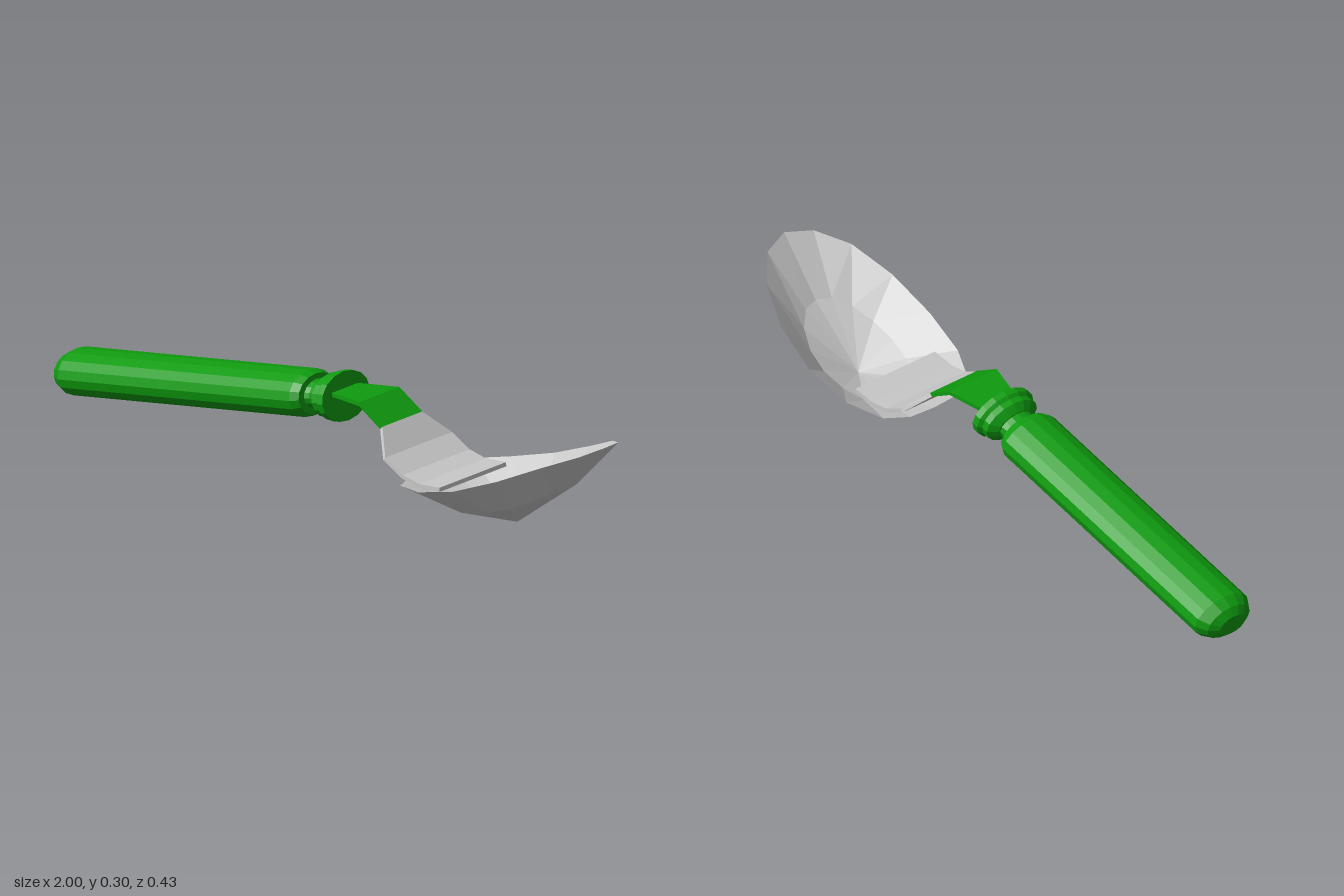
import * as THREE from 'three';

const green = new THREE.MeshStandardMaterial({ color: 0x0f9b0f, flatShading: true });
green.name = 'green';
const silver = new THREE.MeshStandardMaterial({ color: 0xc8c8c8, flatShading: true, side: THREE.DoubleSide });
silver.name = 'silver';

function meshFrom(name, positions, index, material) {
  const g = new THREE.BufferGeometry();
  g.setAttribute('position', new THREE.Float32BufferAttribute(positions, 3));
  g.setIndex(index);
  g.computeVertexNormals();
  const mesh = new THREE.Mesh(g, material);
  mesh.name = name;
  return mesh;
}

// Bent flat bar through stations [x, y of top, half width]
function strip(name, stations, material, thickness = 0.012) {
  const pos = [], idx = [];
  stations.forEach(([x, y, w], i) => {
    // push the underside away along the local slope
    const a = stations[Math.max(i - 1, 0)], b = stations[Math.min(i + 1, stations.length - 1)];
    const t = Math.atan2(b[1] - a[1], b[0] - a[0]);
    const bx = x + Math.sin(t) * thickness, by = y - Math.cos(t) * thickness;
    pos.push(x, y, w, x, y, -w, bx, by, -w, bx, by, w);
    if (i === 0) return;
    const p = (i - 1) * 4, q = i * 4;
    for (let k = 0; k < 4; k++) {
      const n = (k + 1) % 4;
      idx.push(p + k, q + k, p + n, q + k, q + n, p + n);
    }
  });
  const e = (stations.length - 1) * 4;
  idx.push(0, 1, 2, 0, 2, 3, e, e + 2, e + 1, e, e + 3, e + 2);
  return meshFrom(name, pos, idx, material);
}

// Thin bowl: rim and middle ring given for half a turn, tip first, then mirrored
function bowl() {
  const rim = [[1, 0.297], [0.971, 0.283], [0.889, 0.25], [0.765, 0.193], [0.62, 0.135],
    [0.475, 0.095], [0.37, 0.078], [0.335, 0.071], [0.33, 0.07]];
  const midY = [0.143, 0.138, 0.115, 0.085, 0.058, 0.037, 0.019, 0.019, 0.02];
  const pos = [0.67, 0, 0], idx = [], n = 16;
  for (let i = 0; i < n; i++) {
    const a = (i / n) * Math.PI * 2, h = i <= 8 ? i : n - i;
    pos.push(0.67 + 0.19 * Math.cos(a), midY[h], 0.122 * Math.sin(a));
    pos.push(rim[h][0], rim[h][1], 0.216 * Math.sin(a));
    const m = 1 + i * 2, m2 = 1 + ((i + 1) % n) * 2;
    idx.push(0, m2, m, m, m2, m2 + 1, m, m2 + 1, m + 1);
  }
  return meshFrom('bowl', pos, idx, silver);
}

export function createModel() {
  const group = new THREE.Group();
  group.name = 'spoon';

  // Turned grip, flattened to an oval and tilted along its axis
  const tilt = 0.156;
  const turned = (name, profile) => {
    const g = new THREE.LatheGeometry(profile.map(([r, s]) => new THREE.Vector2(r, s)), 16);
    g.scale(0.7, 1, 1);
    g.rotateZ(tilt - Math.PI / 2);
    g.translate(-0.996, 0.063, 0);
    const mesh = new THREE.Mesh(g, green);
    mesh.name = name;
    group.add(mesh);
  };
  turned('grip', [[0, 0], [0.045, 0], [0.075, 0.018], [0.095, 0.05], [0.095, 0.915],
    [0.082, 0.94], [0, 0.94]]);
  turned('neck', [[0, 0.93], [0.062, 0.93], [0.055, 0.955], [0.06, 0.99], [0, 0.99]]);
  turned('collar', [[0, 0.97], [0.062, 0.975], [0.09, 0.995], [0.09, 1.015], [0.101, 1.025],
    [0.101, 1.045], [0, 1.045]]);

  // Bent shank: green near the collar, bare metal where it meets the bowl
  group.add(strip('shank', [[0.03, 0.248, 0.055], [0.16, 0.258, 0.085], [0.245, 0.205, 0.085]], green));
  group.add(strip('shankPlate', [[0.245, 0.205, 0.085], [0.305, 0.143, 0.142], [0.37, 0.107, 0.142],
    [0.43, 0.094, 0.142], [0.505, 0.1, 0.142]], silver));
  group.add(bowl());
  return group;
}
